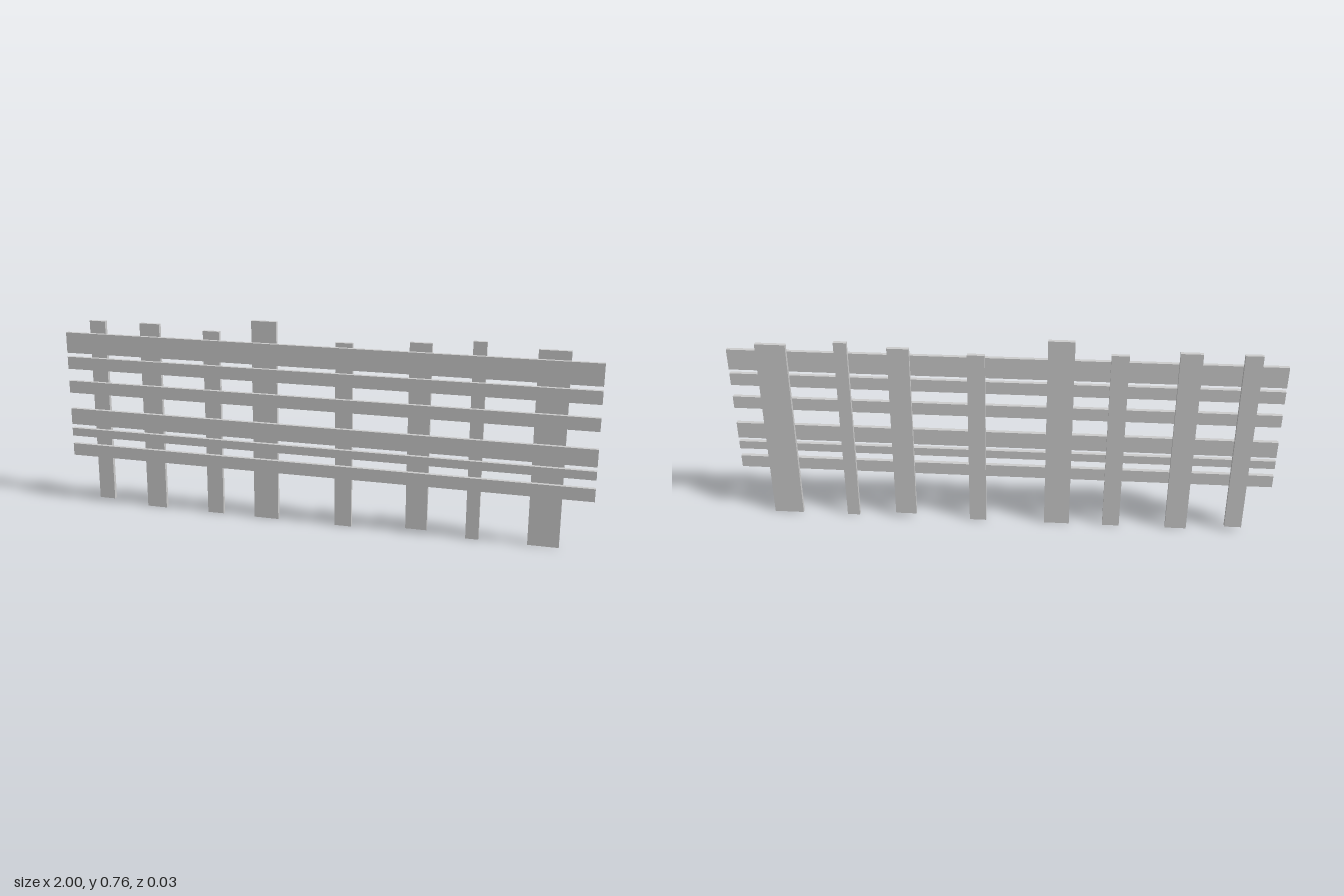
import * as THREE from 'three';

// All planks sit on a common grid: the fence is 126 units long.
const U = 2 / 126;

export function createModel() {
  const fence = new THREE.Group();
  fence.name = 'fence';
  const material = new THREE.MeshStandardMaterial({ color: 0xcccccc, flatShading: true });

  // Box given by its limits, in grid units
  const plank = (name, x0, x1, y0, y1, z0, z1) => {
    const geometry = new THREE.BoxGeometry((x1 - x0) * U, (y1 - y0) * U, (z1 - z0) * U);
    const mesh = new THREE.Mesh(geometry, material);
    mesh.name = name;
    mesh.position.set((x0 + x1) / 2 * U, (y0 + y1) / 2 * U, (z0 + z1) / 2 * U);
    fence.add(mesh);
  };

  // Upright posts behind the rails: left edge, right edge, bottom, top
  [
    [-57, -53, 1, 46],
    [-44, -39, 0, 46],
    [-28, -24, 0, 45],
    [-16, -10, 0, 48],
    [4, 8, 0, 44],
    [21, 26, 1, 45],
    [35, 38, 0, 46],
    [49, 56, 0, 45],
  ].forEach(([x0, x1, y0, y1], i) => plank(`post${i + 1}`, x0, x1, y0, y1, -1, 0));

  // Full-length rails across the front: bottom, top
  [
    [12, 15],
    [17, 19],
    [20, 24],
    [28, 31],
    [34, 37],
    [38, 43],
  ].forEach(([y0, y1], i) => plank(`rail${i + 1}`, -63, 63, y0, y1, 0, 1));

  return fence;
}
